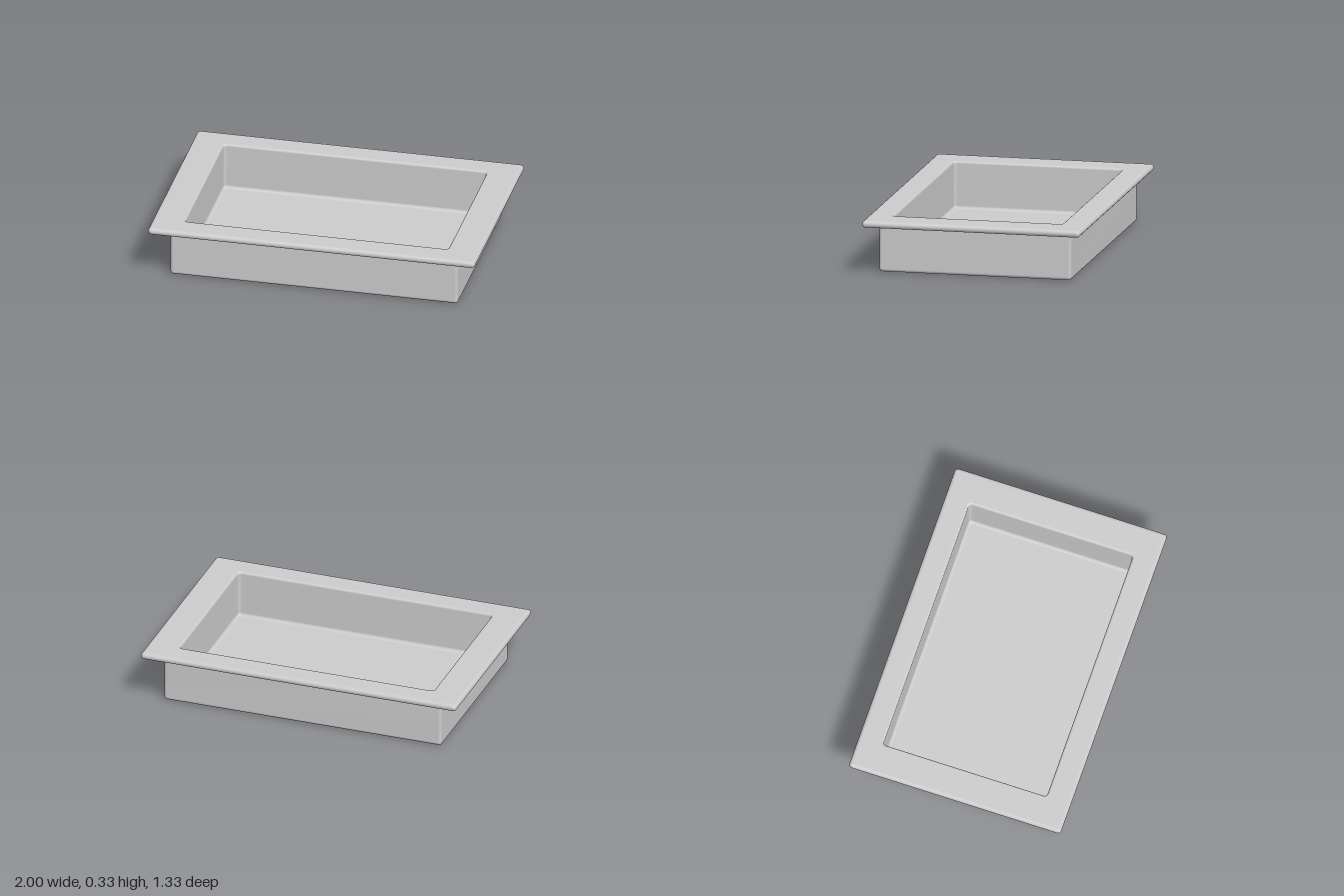
import * as THREE from 'three';

const CORNER_STEPS = 6;

// Quarter or half round in the cross-section: corner centre (cx, cz),
// arc centred at outset r0 and height y0, swept from angle a0 to a1 (degrees)
function arc(cx, cz, r0, y0, radius, a0, a1, steps = 6) {
  const rings = [];
  for (let i = 0; i <= steps; i++) {
    const a = THREE.MathUtils.degToRad(a0 + (a1 - a0) * i / steps);
    rings.push([cx, cz, Math.max(0.0005, r0 + radius * Math.cos(a)), y0 + radius * Math.sin(a)]);
  }
  return rings;
}

// Joins rounded-rectangle rings [corner x, corner z, corner radius, y] into a smooth skin
function skinRings(rings) {
  const positions = [], index = [];
  const signs = [[1, 1], [-1, 1], [-1, -1], [1, -1]];
  for (const [cx, cz, r, y] of rings) {
    signs.forEach(([sx, sz], q) => {
      for (let i = 0; i <= CORNER_STEPS; i++) {
        const a = (q + i / CORNER_STEPS) * Math.PI / 2;
        positions.push(sx * cx + r * Math.cos(a), y, sz * cz + r * Math.sin(a));
      }
    });
  }
  const n = 4 * (CORNER_STEPS + 1);
  for (let k = 0; k < rings.length - 1; k++) {
    for (let j = 0; j < n; j++) {
      const a = k * n + j, b = k * n + (j + 1) % n;
      index.push(a, a + n, b, b, a + n, b + n);
    }
  }
  const geometry = new THREE.BufferGeometry();
  geometry.setAttribute('position', new THREE.Float32BufferAttribute(positions, 3));
  geometry.setIndex(index);
  geometry.computeVertexNormals();
  return geometry;
}

export function createModel() {
  const group = new THREE.Group();
  group.name = 'tray';

  const top = 0.329, edge = 0.021, floor = 0.04;
  const rings = [
    // underside and outer wall
    [0, 0, 0, 0],
    ...arc(0.86, 0.568, 0, 0.02, 0.02, -90, 0),
    // fillet under the rim
    ...arc(0.86, 0.568, 0.04, top - 2 * edge - 0.02, 0.02, 180, 90),
    // fully rounded rim edge
    ...arc(0.979, 0.646, 0, top - edge, edge, -90, 90, 10),
    // rounded lip of the opening, then the inner wall
    ...arc(0.785, 0.495, 0.035, top - 0.015, 0.015, 90, 180),
    // fillet at the floor
    ...arc(0.785, 0.495, 0, floor + 0.02, 0.02, 0, -90),
    [0, 0, 0, floor],
  ];

  const body = new THREE.Mesh(
    skinRings(rings),
    new THREE.MeshStandardMaterial({ color: 0xcccccc })
  );
  body.name = 'rimmedTrayBody';
  group.add(body);
  return group;
}
